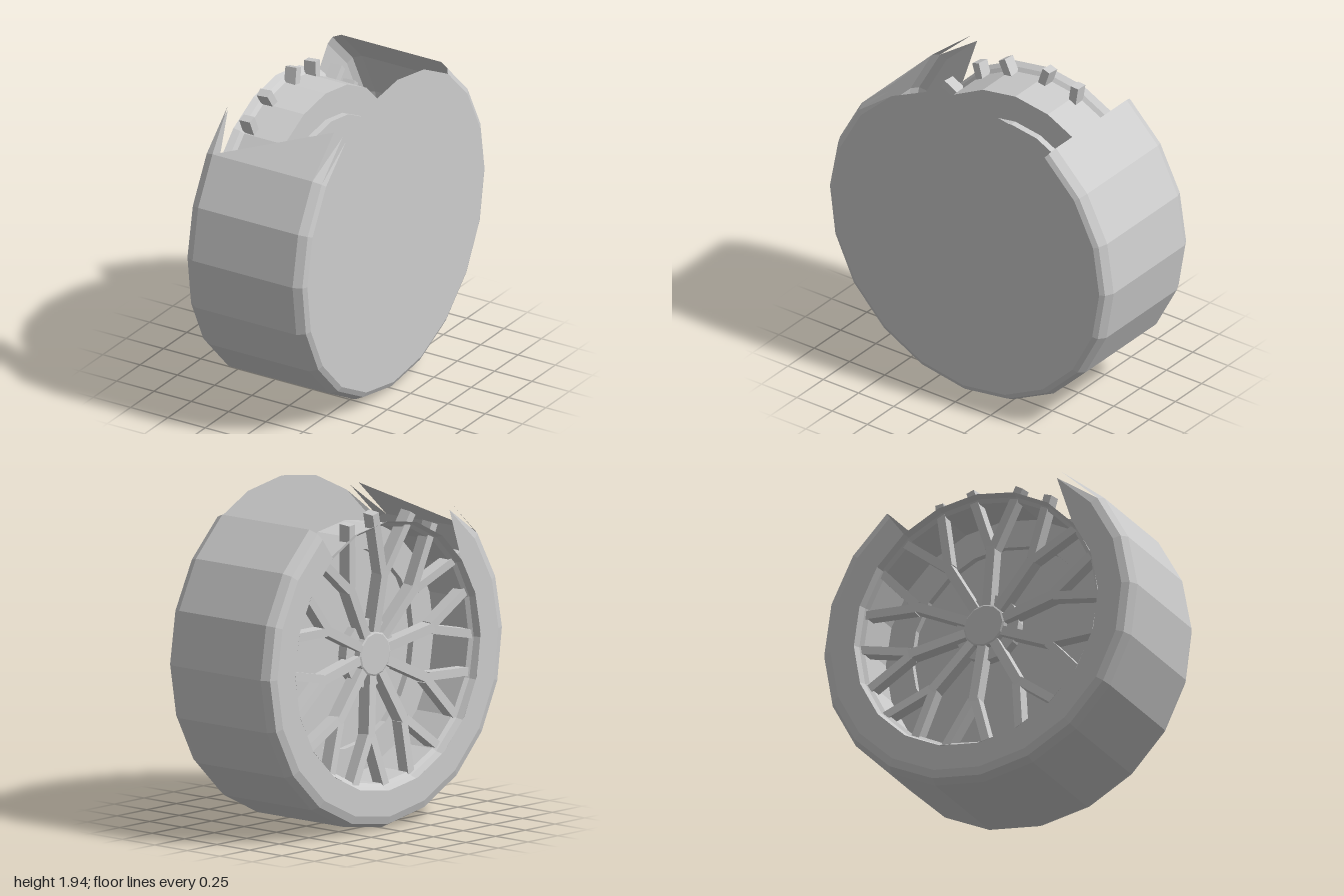
import * as THREE from 'three';

const metal = new THREE.MeshStandardMaterial({ color: 0xcccccc, flatShading: true, side: THREE.DoubleSide });
metal.name = 'light grey';

const CY = 1; // axle height
const rad = THREE.MathUtils.degToRad;
const START = 126.2, STEP = 18.125, SEGS = 16; // tyre covers 290 degrees, open on top

function mesh(name, geometry) {
  const m = new THREE.Mesh(geometry, metal);
  m.name = name;
  return m;
}

// Point on a ring: angle measured from +z towards +y
function ringPoint(x, r, deg) {
  return [x, CY + r * Math.sin(rad(deg)), r * Math.cos(rad(deg))];
}

// Open tyre shell swept from [x, radius] profile; the final segment is torn into triangles
function tyreShell() {
  const profile = [[-0.4, 0.78], [-0.4, 0.93], [-0.385, 0.975], [-0.335, 1], [0.335, 1], [0.385, 0.975], [0.4, 0.945]];
  const pos = [];
  for (let s = 0; s < SEGS; s++) {
    const t0 = START + s * STEP, t1 = t0 + STEP;
    for (let i = 0; i < profile.length - 1; i++) {
      const a0 = ringPoint(...profile[i], t0), a1 = ringPoint(...profile[i], t1);
      const b0 = ringPoint(...profile[i + 1], t0), b1 = ringPoint(...profile[i + 1], t1);
      if (s < SEGS - 1) pos.push(...a0, ...b0, ...b1, ...a0, ...b1, ...a1);
      else if (i === 1 || i === 2) pos.push(...a0, ...b0, ...a1);
      else pos.push(...a0, ...b0, ...b1);
    }
  }
  const g = new THREE.BufferGeometry();
  g.setAttribute('position', new THREE.Float32BufferAttribute(pos, 3));
  g.computeVertexNormals();
  return mesh('tyre', g);
}

// Flat closed side of the wheel
function sideCap() {
  const points = [];
  for (let i = 0; i < 20; i++) {
    const deg = i <= SEGS ? START + i * STEP : START + SEGS * STEP + (i - SEGS) * 17.5;
    points.push(new THREE.Vector2(-0.945 * Math.cos(rad(deg)), 0.945 * Math.sin(rad(deg))));
  }
  const m = mesh('sideCap', new THREE.ShapeGeometry(new THREE.Shape(points)));
  m.rotation.y = Math.PI / 2;
  m.position.set(0.4, CY, 0);
  return m;
}

// Turned part around the axle from [x, radius] points
function turned(name, points, sides = 20) {
  const g = new THREE.LatheGeometry(points.map(([x, r]) => new THREE.Vector2(r, -x)), sides);
  g.rotateZ(Math.PI / 2);
  const m = mesh(name, g);
  m.position.y = CY;
  return m;
}

// Square bar between two points of the y-z plane, with its own x at each end
function bar(name, from, to, width, depth) {
  const a = new THREE.Vector3(...from), b = new THREE.Vector3(...to);
  const m = mesh(name, new THREE.BoxGeometry(depth, width, a.distanceTo(b)));
  m.position.copy(a).add(b).multiplyScalar(0.5);
  m.lookAt(b);
  return m;
}

// One forked spoke pointing along +z
function spoke() {
  const g = new THREE.Group();
  g.name = 'spoke';
  g.add(bar('spokeArm', [-0.26, 0, 0.12], [-0.29, 0, 0.5], 0.055, 0.08));
  for (const side of [1, -1]) {
    g.add(bar('spokeBranch', [-0.29, side * 0.01, 0.47], [-0.322, side * 0.158, 0.815], 0.05, 0.075));
  }
  return g;
}

export function createModel() {
  const wheel = new THREE.Group();
  wheel.name = 'wheel';
  wheel.add(tyreShell(), sideCap());

  // Rim barrel with lip and stepped back plate
  wheel.add(turned('rim', [[-0.4, 0.78], [-0.36, 0.765], [-0.34, 0.745], [-0.07, 0.745], [-0.07, 0.58], [-0.03, 0.58], [-0.03, 0]]));

  // Hub plate and raised centre cap
  wheel.add(turned('hubPlate', [[-0.2, 0], [-0.2, 0.2], [-0.26, 0.2], [-0.26, 0]]));
  wheel.add(turned('hubCap', [[-0.25, 0.13], [-0.3, 0.13], [-0.305, 0.12], [-0.305, 0]], 12));

  // Ten forked spokes whose tips poke through the rim
  for (let i = 0; i < 10; i++) {
    const s = spoke();
    s.position.y = CY;
    s.rotation.x = -rad(11 + i * 36);
    wheel.add(s);
  }
  return wheel;
}
